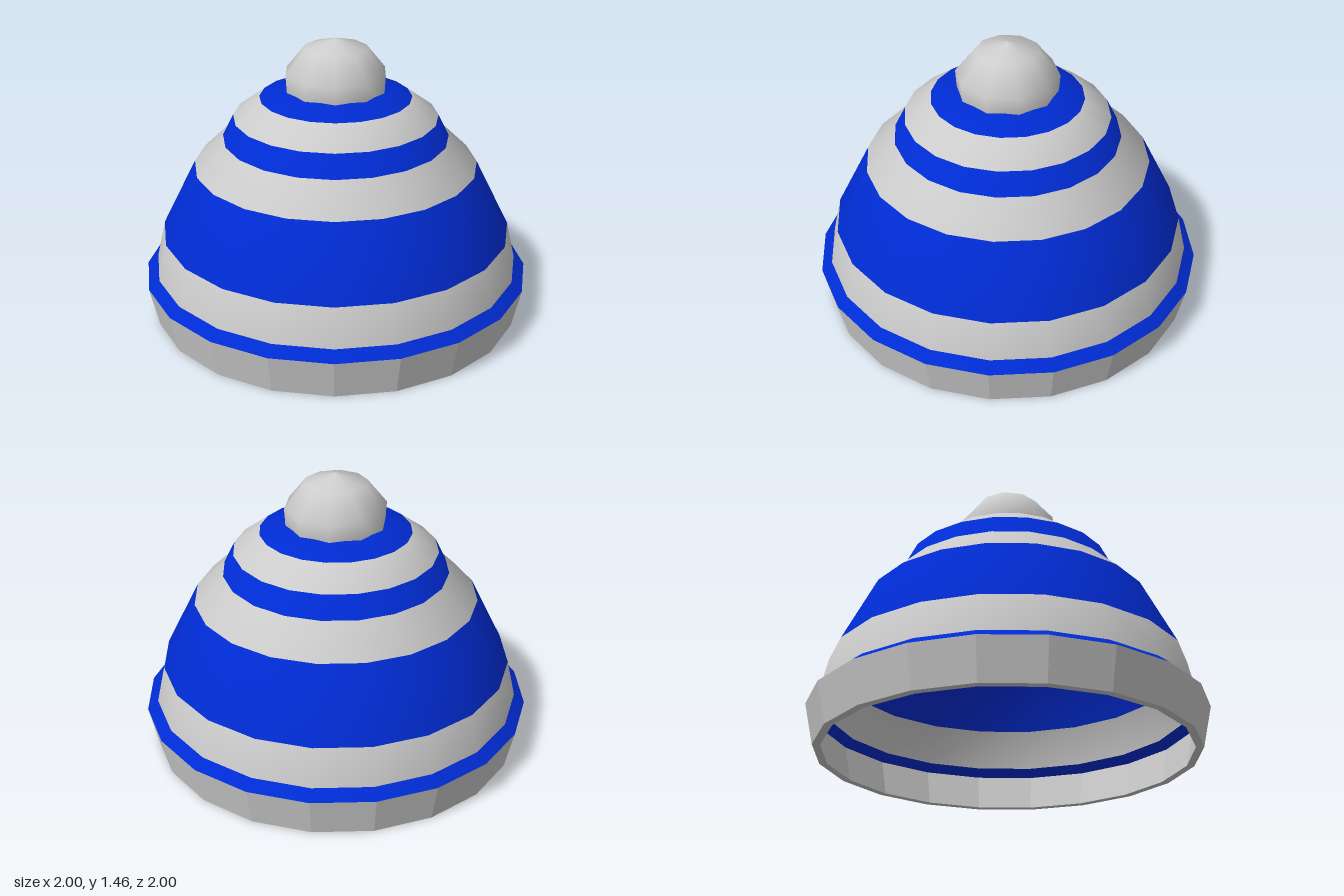
import * as THREE from 'three';

const GREY = 0xcccccc, BLUE = 0x002bd2;
const SIDES = 20;
const lathe = (list, sides = SIDES) =>
  new THREE.LatheGeometry(list.map(([r, y]) => new THREE.Vector2(r, y)), sides);

function addMesh(group, name, geometry, color, flatShading = false) {
  const material = new THREE.MeshStandardMaterial({ color, flatShading, side: THREE.DoubleSide });
  const mesh = new THREE.Mesh(geometry, material);
  mesh.name = name;
  group.add(mesh);
}

// One horizontal band of a lathe, keeping the smooth normals of the whole profile
function bandOf(geometry, row, rows) {
  const index = [];
  for (let s = 0; s < SIDES; s++) {
    const start = (s * rows + row) * 6;
    for (let k = 0; k < 6; k++) index.push(geometry.index.getX(start + k));
  }
  const band = geometry.clone();
  band.setIndex(index);
  return band;
}

// One layer of the knitted wall: faceted cuff, blue ledge, striped smooth crown
function wallLayer(name, profile) {
  const layer = new THREE.Group();
  layer.name = name;
  addMesh(layer, 'cuff', lathe(profile.slice(0, 2)), GREY, true);
  addMesh(layer, 'ledge', lathe(profile.slice(1, 3)), BLUE);
  const crown = lathe(profile.slice(2));
  const colors = [GREY, BLUE, GREY, BLUE, GREY, BLUE, BLUE];
  colors.forEach((color, row) => {
    addMesh(layer, `crownStripe${row + 1}`, bandOf(crown, row, colors.length), color);
  });
  return layer;
}

export function createModel() {
  const hat = new THREE.Group();
  hat.name = 'bobbleHat';

  // Outside of the hat, and the lining set in by the wall thickness
  hat.add(wallLayer('outerWall', [
    [0.955, 0], [1, 0.205], [0.945, 0.25], [0.9, 0.445], [0.725, 0.795],
    [0.575, 0.94], [0.52, 1.05], [0.385, 1.15], [0.23, 1.2], [0, 1.21],
  ]));
  hat.add(wallLayer('lining', [
    [0.915, 0], [0.955, 0.185], [0.91, 0.225], [0.865, 0.43], [0.69, 0.775],
    [0.55, 0.905], [0.49, 1.015], [0.365, 1.115], [0.22, 1.16], [0, 1.17],
  ]));

  // Hem joining the two layers at the opening
  addMesh(hat, 'hem', lathe([[0.915, 0], [0.955, 0]]), GREY, true);

  // Slightly flattened bobble sunk into the top
  const bobble = [[0, 0.94], [0.155, 0.99], [0.25, 1.12], [0.26, 1.28], [0.16, 1.405], [0, 1.455]];
  addMesh(hat, 'bobble', lathe(bobble, 10), GREY);

  return hat;
}
